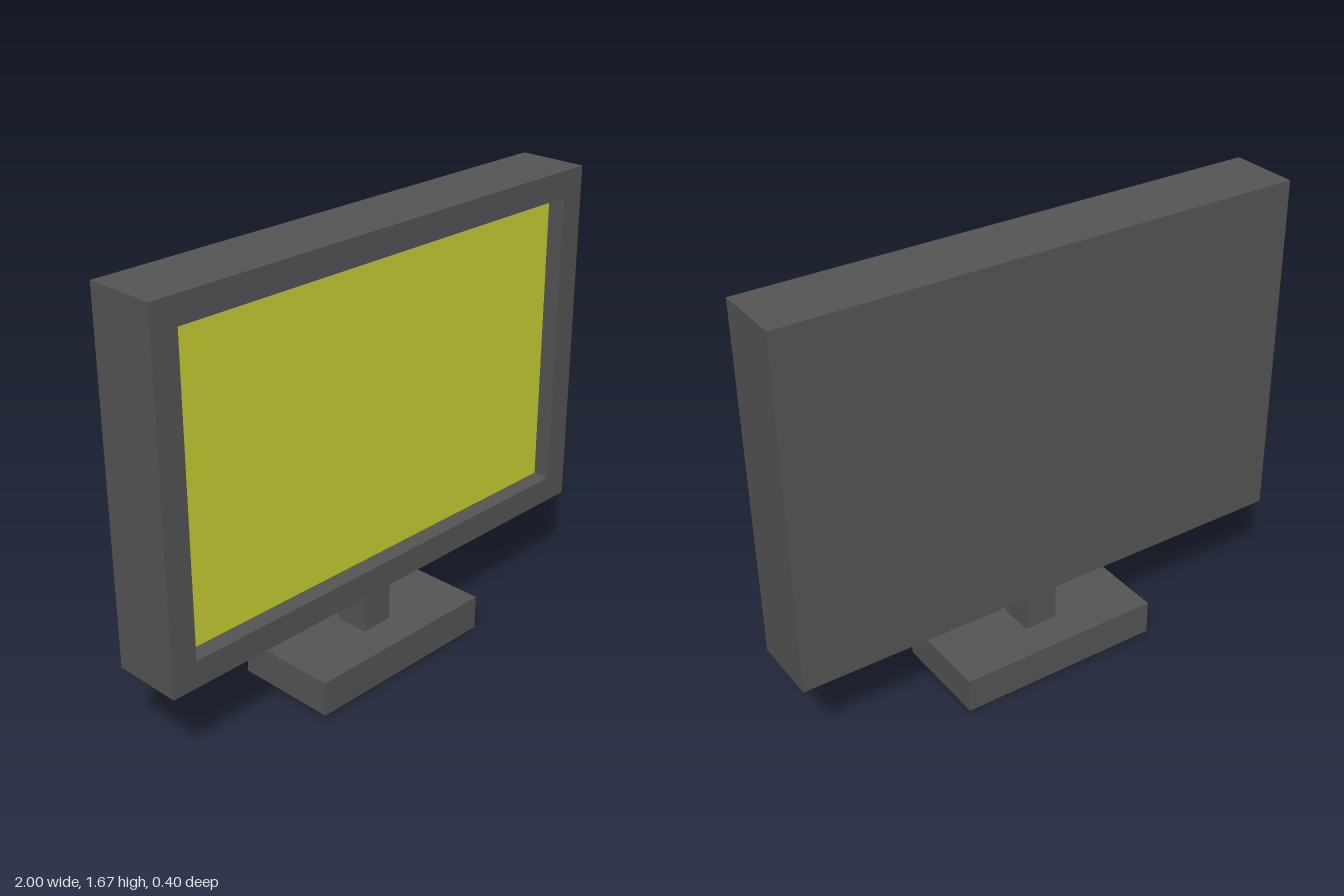
import * as THREE from 'three';

const dark = new THREE.MeshStandardMaterial({ color: 0x555555 });
const yellow = new THREE.MeshStandardMaterial({ color: 0xc8d032 });

const W = 2, H = 1.333, D = 0.267;   // housing size
const BORDER = 0.1, RECESS = 0.067;  // bezel width and depth
const BOTTOM = 0.333;                // underside of the housing
const BASE_H = 0.133;

function add(group, name, geometry, material, x, y, z) {
  const mesh = new THREE.Mesh(geometry, material);
  mesh.name = name;
  mesh.position.set(x, y, z);
  group.add(mesh);
}

function rectangle(PathType, w, h) {
  return new PathType([[-1, -1], [1, -1], [1, 1], [-1, 1]]
    .map(([x, y]) => new THREE.Vector2(x * w / 2, y * h / 2)));
}

export function createModel() {
  const model = new THREE.Group();
  model.name = 'monitor';
  const midY = BOTTOM + H / 2;
  const screenZ = D / 2 - RECESS;
  const screenW = W - 2 * BORDER, screenH = H - 2 * BORDER;

  // Stand: flat foot and square neck
  add(model, 'base', new THREE.BoxGeometry(0.8, BASE_H, 0.4), dark, 0, BASE_H / 2, 0);
  add(model, 'neck', new THREE.BoxGeometry(0.133, BOTTOM - BASE_H, 0.133), dark, 0, (BASE_H + BOTTOM) / 2, 0);

  // Solid rear housing
  add(model, 'housing', new THREE.BoxGeometry(W, H, D - RECESS), dark, 0, midY, -RECESS / 2);

  // Bezel standing proud around the screen
  const frame = rectangle(THREE.Shape, W, H);
  frame.holes.push(rectangle(THREE.Path, screenW, screenH));
  const bezel = new THREE.ExtrudeGeometry(frame, { depth: RECESS, bevelEnabled: false });
  add(model, 'bezel', bezel, dark, 0, midY, screenZ);

  // Recessed screen, just clear of the housing
  add(model, 'screen', new THREE.PlaneGeometry(screenW, screenH), yellow, 0, midY, screenZ + 0.002);

  return model;
}
